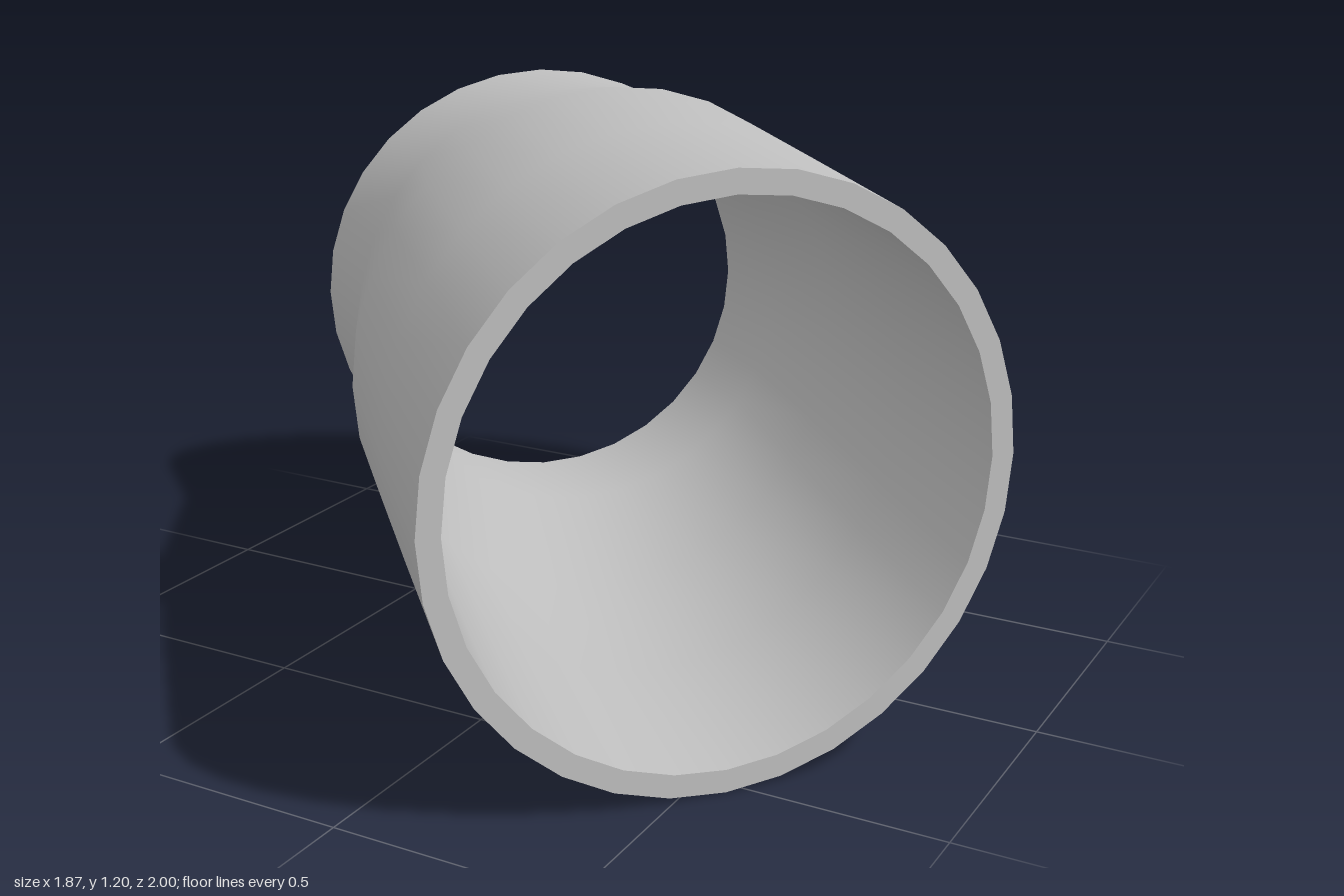
import * as THREE from 'three';

const SIDES = 32;
const CENTRE_Y = 0.598;
const WALL = 0.047;

// Stations along the sleeve: centre x, centre z, radius, and the plane's sideways direction
const stations = [
  { x: -0.535, z: -0.645, r: 0.535, u: [0.8, -0.71] },
  { x: -0.32, z: -0.464, r: 0.534, u: [0.758, -0.732] },
  { x: -0.055, z: -0.145, r: 0.597, u: [0.73, -0.945] },
  { x: 0.256, z: 0.193, r: 0.598, u: [0.733, -0.942] },
  { x: 0.567, z: 0.53, r: 0.598, u: [0.735, -0.94] },
];

// Upright circle of points at a station, shrunk by the inset
function ring(s, inset) {
  const u = new THREE.Vector3(s.u[0], 0, s.u[1]).normalize();
  const r = s.r - inset;
  return Array.from({ length: SIDES }, (_, j) => {
    const a = (j / SIDES) * Math.PI * 2;
    return new THREE.Vector3(s.x, CENTRE_Y + r * Math.sin(a), s.z)
      .addScaledVector(u, r * Math.cos(a));
  });
}

// Closed band of faces joining successive rings
function band(name, rings, material) {
  const index = [];
  for (let i = 0; i < rings.length - 1; i++) {
    for (let j = 0; j < SIDES; j++) {
      const k = (j + 1) % SIDES;
      const a = i * SIDES + j, b = i * SIDES + k;
      index.push(a, b, a + SIDES, b, b + SIDES, a + SIDES);
    }
  }
  const geometry = new THREE.BufferGeometry().setFromPoints(rings.flat());
  geometry.setIndex(index);
  geometry.computeVertexNormals();
  const mesh = new THREE.Mesh(geometry, material);
  mesh.name = name;
  return mesh;
}

export function createModel() {
  const group = new THREE.Group();
  group.name = 'bentSleeve';
  const grey = new THREE.MeshStandardMaterial({ color: 0xbfbfbf });
  grey.name = 'lightGrey';

  const outer = stations.map((s) => ring(s, 0));
  const inner = stations.map((s) => ring(s, WALL)).reverse();
  const last = stations.length - 1;

  group.add(
    band('outerWall', outer, grey),
    band('frontRim', [outer[last], inner[0]], grey),
    band('innerWall', inner, grey),
    band('backRim', [inner[last], outer[0]], grey),
  );
  return group;
}
